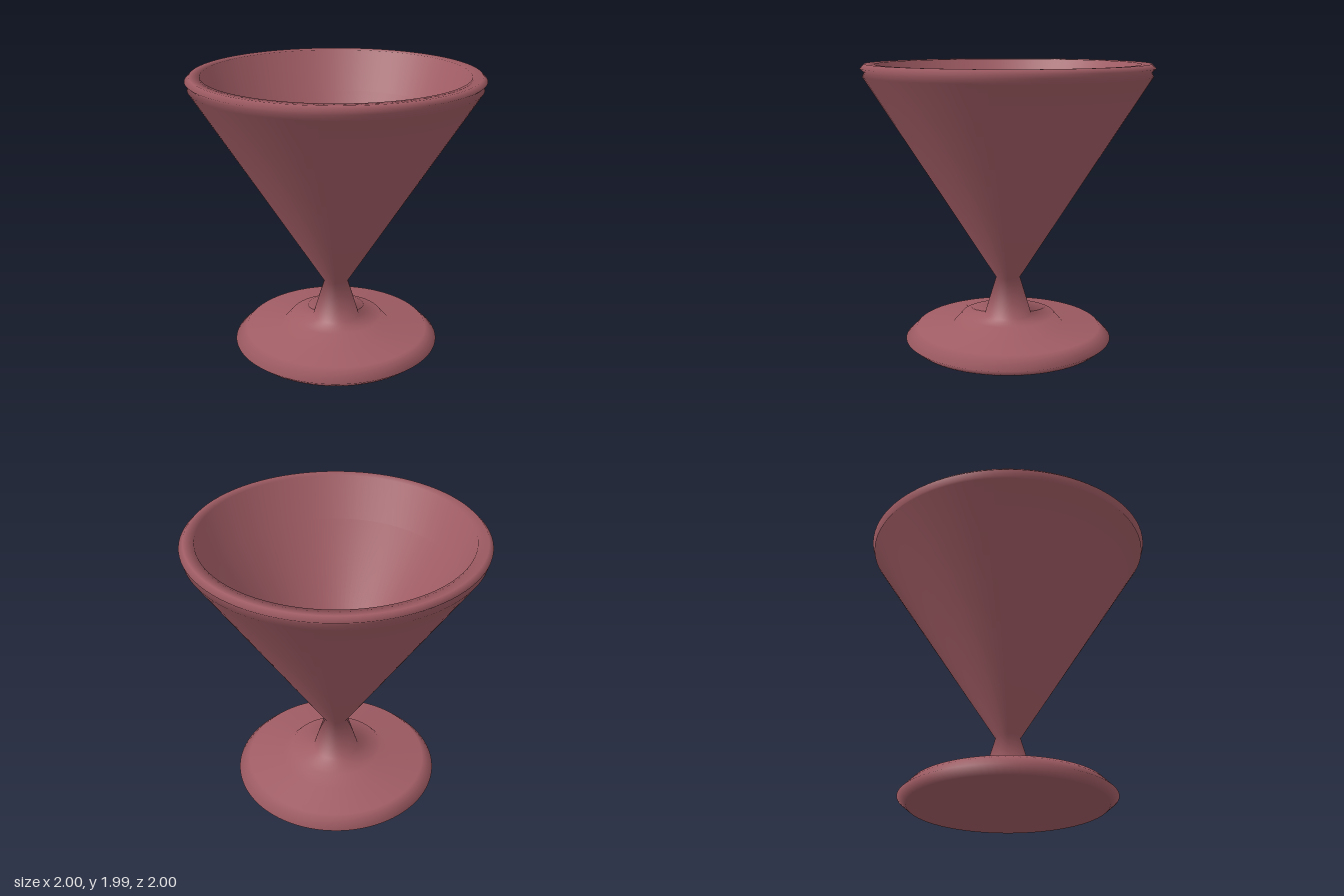
import * as THREE from 'three';

export function createModel() {
  const group = new THREE.Group();
  group.name = 'goblet';

  const rose = new THREE.MeshStandardMaterial({ color: 0xa05c64 });
  rose.name = 'dusty rose';

  // Profile as [radius, height], from the underside up the outside and down the inside
  const foot = [[0, 0], [0.67, 0], [0.73, 0.05], [0.65, 0.13], [0.4, 0.13], [0.33, 0.21]];
  const stem = [[0.165, 0.21], [0.085, 0.48]];
  const rim = [[0.985, 1.9], [0.972, 1.93], [1, 1.955], [0.97, 1.985], [0.9, 1.982]];
  const bowlInside = [[0.8, 1.69], [0.06, 0.58], [0, 0.56]];

  // One continuous turned body, so the shading flows across foot, stem and bowl
  const profile = [...foot, ...stem, ...rim, ...bowlInside].map(([r, y]) => new THREE.Vector2(r, y));
  const body = new THREE.Mesh(new THREE.LatheGeometry(profile, 96), rose);
  body.name = 'turnedCup';
  group.add(body);

  return group;
}
